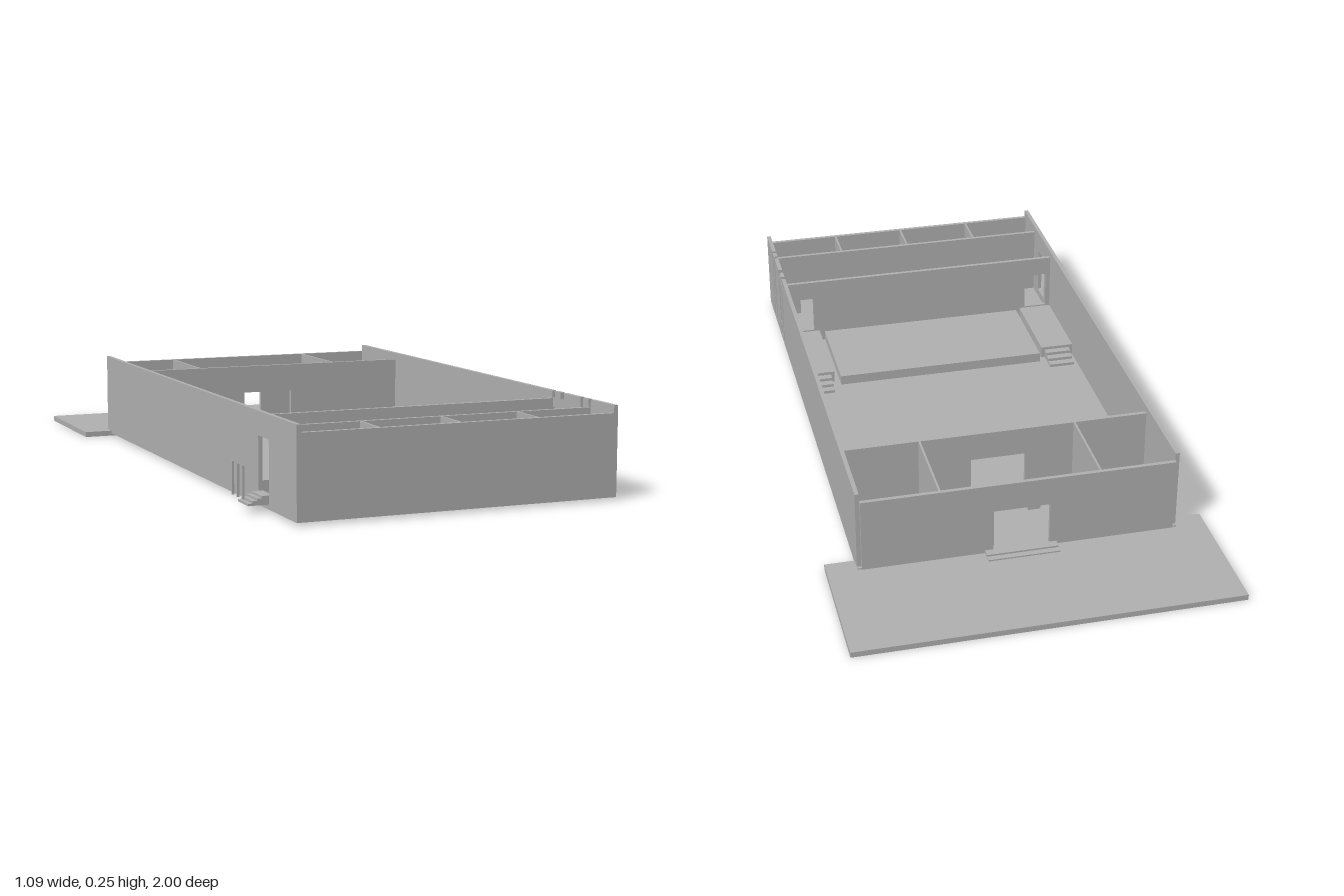
import * as THREE from 'three';

const grey = new THREE.MeshStandardMaterial({ color: 0xb2b2b2 });

export function createModel() {
  const model = new THREE.Group();
  const FLOOR = 0.02, TOP = 0.234, HALF = 0.458, INNER = 0.446;

  const add = (name, geometry) => {
    const mesh = new THREE.Mesh(geometry, grey);
    mesh.name = name;
    model.add(mesh);
    return mesh;
  };

  // Box given by its limits
  const box = (name, x0, x1, y0, y1, z0, z1) =>
    add(name, new THREE.BoxGeometry(x1 - x0, y1 - y0, z1 - z0))
      .position.set((x0 + x1) / 2, (y0 + y1) / 2, (z0 + z1) / 2);

  const trace = (path, a0, a1, b0, b1) =>
    path.moveTo(a0, b0).lineTo(a1, b0).lineTo(a1, b1).lineTo(a0, b1).closePath();

  // Upright slab with rectangular openings [a0, a1, y0, y1]
  const slab = (a0, a1, y0, y1, depth, openings) => {
    const shape = new THREE.Shape();
    trace(shape, a0, a1, y0, y1);
    for (const o of openings) {
      const hole = new THREE.Path();
      trace(hole, ...o);
      shape.holes.push(hole);
    }
    return new THREE.ExtrudeGeometry(shape, { depth, bevelEnabled: false });
  };

  // Wall running across the building
  const crossWall = (name, z0, z1, openings = []) =>
    add(name, slab(-INNER, INNER, 0.015, TOP, z1 - z0, openings)).position.z = z0;

  // Wall running from back to front, openings given along z
  const longWall = (name, x0, x1, z0, z1, top, openings = []) => {
    const flipped = openings.map(([a, b, c, d]) => [-b, -a, c, d]);
    const geometry = slab(-z1, -z0, 0.01, top, x1 - x0, flipped);
    geometry.rotateY(Math.PI / 2);
    add(name, geometry).position.x = x0;
  };

  // Base slabs
  box('terrace', -0.543, 0.543, 0, 0.016, -1, -0.6);
  box('floor', -HALF, HALF, 0.008, FLOOR, -0.645, 1);

  // Outer side walls; the left one is split by narrow full-height slots
  longWall('rightWall', -HALF, -INNER, -0.636, 1, 0.255, [[0.735, 0.81, 0.045, 0.19]]);
  const panels = [[-0.636, 0.672], [0.686, 0.718], [0.738, 0.827], [0.84, 0.868], [0.88, 1]];
  for (const [z0, z1] of panels) box('leftWallPanel', INNER, HALF, 0.01, 0.255, z0, z1);
  box('sideDoorRail', INNER, HALF, 0.06, 0.07, 0.672, 0.738);
  box('sideDoorLintel', INNER, HALF, 0.21, 0.235, 0.672, 0.738);

  // Walls across the building
  const middleDoor = [-0.085, 0.075, FLOOR, 0.15];
  crossWall('backWall', -0.648, -0.636, [middleDoor]);
  crossWall('rearHallWall', -0.377, -0.365, [middleDoor]);
  crossWall('stageWall', 0.664, 0.676, [-0.395, 0.395].map(x => [x - 0.036, x + 0.036, 0.06, 0.175]));
  crossWall('frontCorridorWall', 0.866, 0.877,
    [-0.34, -0.115, 0.11, 0.34].map(x => [x - 0.033, x + 0.033, FLOOR, 0.135]));
  crossWall('frontWall', 0.988, 1);

  // Room partitions
  longWall('rearPartition', -0.233, -0.227, -0.636, -0.377, TOP);
  longWall('rearPartition', 0.222, 0.228, -0.636, -0.377, TOP, [[-0.62, -0.535, FLOOR, 0.15]]);
  box('doorSill', 0.205, 0.238, FLOOR, 0.024, -0.62, -0.535);
  for (const x of [-0.23, 0, 0.225]) {
    longWall('frontPartition', x - 0.003, x + 0.003, 0.877, 0.988, TOP);
  }

  // Stage with a raised landing and steps on each side
  box('stage', -0.33, 0.325, FLOOR, 0.05, 0.355, 0.666);
  for (const side of [-1, 1]) {
    const span = (a, b) => (side > 0 ? [a, b] : [-b, -a]);
    box('landing', ...span(0.342, INNER), FLOOR, 0.056, 0.38, 0.666);
    for (let i = 0; i < 3; i++) {
      box('stageStep', ...span(0.353, 0.433), FLOOR, 0.029 + i * 0.009, 0.31 + i * 0.0235, 0.3335 + i * 0.0235);
    }
  }

  // Steps outside the back door
  box('backStep', -0.105, 0.1, 0.014, 0.02, -0.69, -0.645);
  box('backStep', -0.105, 0.1, 0.014, 0.025, -0.672, -0.645);

  // Side entrance steps and railing posts
  for (let i = 0; i < 4; i++) {
    box('sideStep', -0.515 + i * 0.0125, -0.458, 0.021 + i * 0.006, 0.027 + i * 0.006, 0.735, 0.81);
  }
  for (const z of [0.735, 0.773, 0.811]) {
    box('railingPost', -0.532, -0.526, 0.04, 0.128, z - 0.003, z + 0.003);
  }

  // Furniture: x0, x1, z0, z1, top
  const furniture = [
    ['table', -0.397, -0.285, -0.57, -0.525, 0.06],
    ['cabinet', -0.446, -0.395, -0.44, -0.415, 0.08],
    ['stand', -0.107, -0.07, -0.475, -0.458, 0.09],
    ['bench', 0.07, 0.165, -0.44, -0.42, 0.05],
    ['desk', 0.257, 0.39, -0.547, -0.508, 0.06],
    ['corridorBench', -0.245, -0.09, 0.737, 0.764, 0.05],
    ['corridorTable', 0.103, 0.153, 0.715, 0.775, 0.06],
    ['corridorTable', 0.178, 0.228, 0.715, 0.775, 0.06],
    ['shelf', -0.172, -0.077, 0.895, 0.917, 0.06],
  ];
  for (const [name, x0, x1, z0, z1, top] of furniture) box(name, x0, x1, FLOOR, top, z0, z1);
  for (const x of [0.265, 0.326, 0.391]) box('divider', x - 0.004, x + 0.004, FLOOR, 0.07, -0.62, -0.595);
  for (const x of [-0.393, -0.297]) {
    box('washDesk', x - 0.033, x + 0.033, FLOOR, 0.055, 0.941, 0.97);
    add('stool', new THREE.CylinderGeometry(0.011, 0.011, 0.025, 12)).position.set(x, 0.0325, 0.93);
  }

  return model;
}
